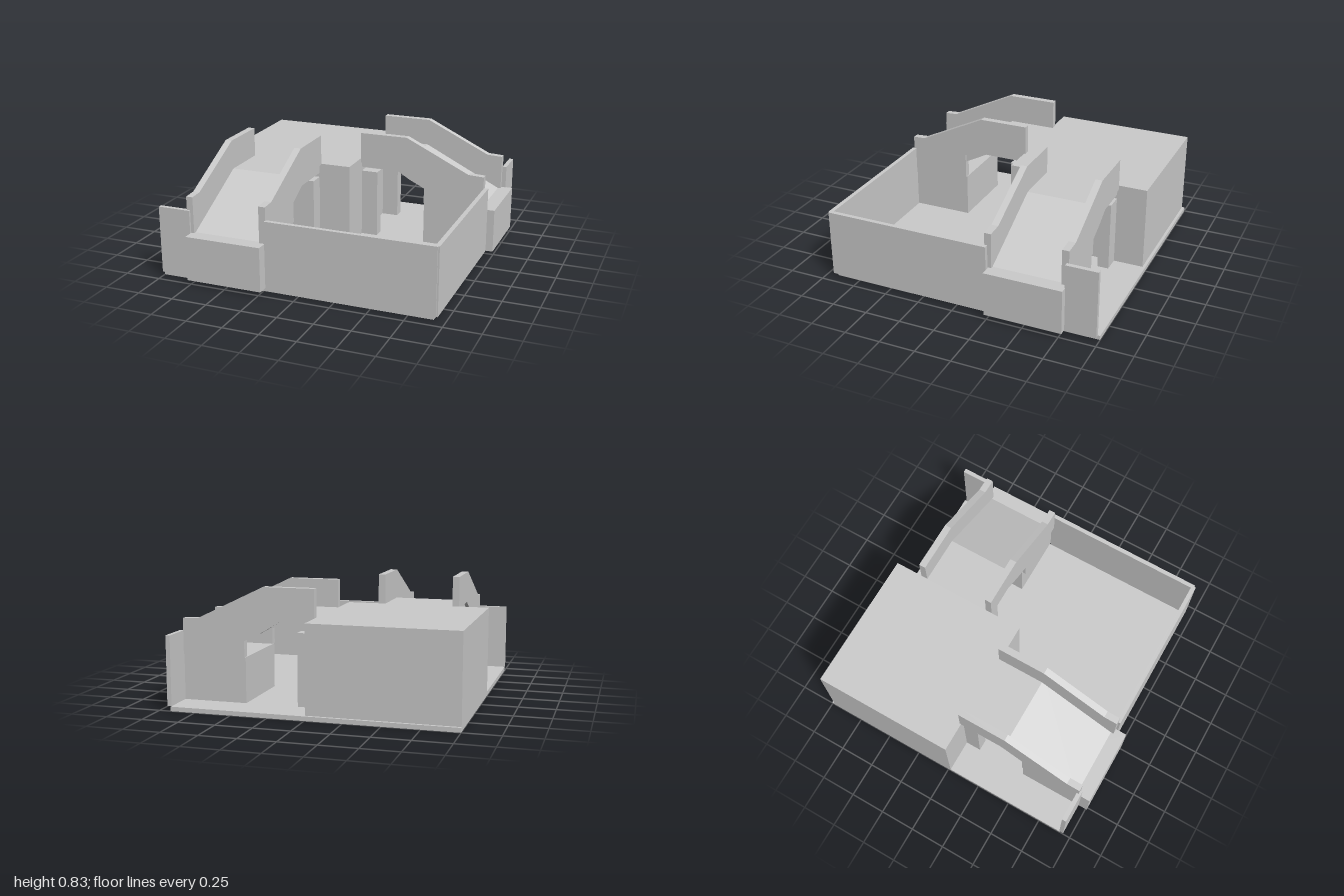
import * as THREE from 'three';

const material = new THREE.MeshStandardMaterial({ color: 0xcccccc, flatShading: true });

// Box given by its minimum and maximum along each axis
function box(name, x0, x1, y0, y1, z0, z1) {
  const mesh = new THREE.Mesh(new THREE.BoxGeometry(x1 - x0, y1 - y0, z1 - z0), material);
  mesh.position.set((x0 + x1) / 2, (y0 + y1) / 2, (z0 + z1) / 2);
  mesh.name = name;
  return mesh;
}

// Side profile in x and y, extruded from z0 to z1
function slab(name, points, z0, z1) {
  const shape = new THREE.Shape(points.map(([x, y]) => new THREE.Vector2(x, y)));
  const geometry = new THREE.ExtrudeGeometry(shape, { depth: z1 - z0, bevelEnabled: false });
  geometry.translate(0, 0, z0);
  const mesh = new THREE.Mesh(geometry, material);
  mesh.name = name;
  return mesh;
}

// Sloping bridge running along +x from the central block
function createBridge(name, lift, underside) {
  const bridge = new THREE.Group();
  bridge.name = name;

  // Flat deck that turns into a ramp
  bridge.add(slab('deck', [
    [0, 0.55], [0.32, 0.55], [0.74, 0.33], [0.92, 0.33], [0.9, 0.34], [0.34, 0.62], [0, 0.62],
  ], -0.77, -0.23));

  // Landing at the foot of the ramp
  bridge.add(box('landing', 0.48, 1, 0.03, 0.34, -0.77, -0.23));

  // Parapets and the short posts below them
  const parapet = [
    ...underside, [0.485, 0.34], [0.92, 0.34], [0.92, 0.585 + lift / 2],
    [0.81 + lift, 0.59 + lift / 2], [0.35, 0.812 + lift], [0, 0.812 + lift],
  ];
  for (const [side, outer, inner, post] of [
    ['back', -0.78, -0.732, [-0.77, -0.69]],
    ['front', -0.252, -0.205, [-0.31, -0.23]],
  ]) {
    bridge.add(slab(side + 'Parapet', parapet, outer, inner));
    bridge.add(box(side + 'Post', 0, 0.12, 0.03, 0.52, post[0], post[1]));
  }
  return bridge;
}

export function createModel() {
  const model = new THREE.Group();
  model.name = 'bridgeBlock';

  // Base and raised corner platform
  model.add(box('base', -1, 0.92, 0, 0.03, -1, 0.92));
  model.add(box('platform', -1, 0, 0.03, 0.62, -0.98, 0.02));

  // Outer walls, open where the ramps come through
  model.add(box('frontWallShort', -1, -0.77, 0.03, 0.5, 0.915, 0.945));
  model.add(box('frontWallLong', -0.225, 0.94, 0.03, 0.5, 0.915, 0.945));
  model.add(box('sideWallShort', 0.92, 0.95, 0.03, 0.5, -0.985, -0.765));
  model.add(box('sideWallLong', 0.92, 0.95, 0.03, 0.5, -0.225, 0.935));

  // One bridge to the side, one turned to the front
  model.add(createBridge('sideBridge', 0, [[0, 0.59], [0.23, 0.59], [0.38, 0.5], [0.485, 0.45]]));
  const front = createBridge('frontBridge', 0.015, [[0, 0.61], [0.32, 0.61], [0.485, 0.52]]);
  front.rotation.y = -Math.PI / 2;
  front.position.set(-1, 0, 0.01);
  model.add(front);

  return model;
}
